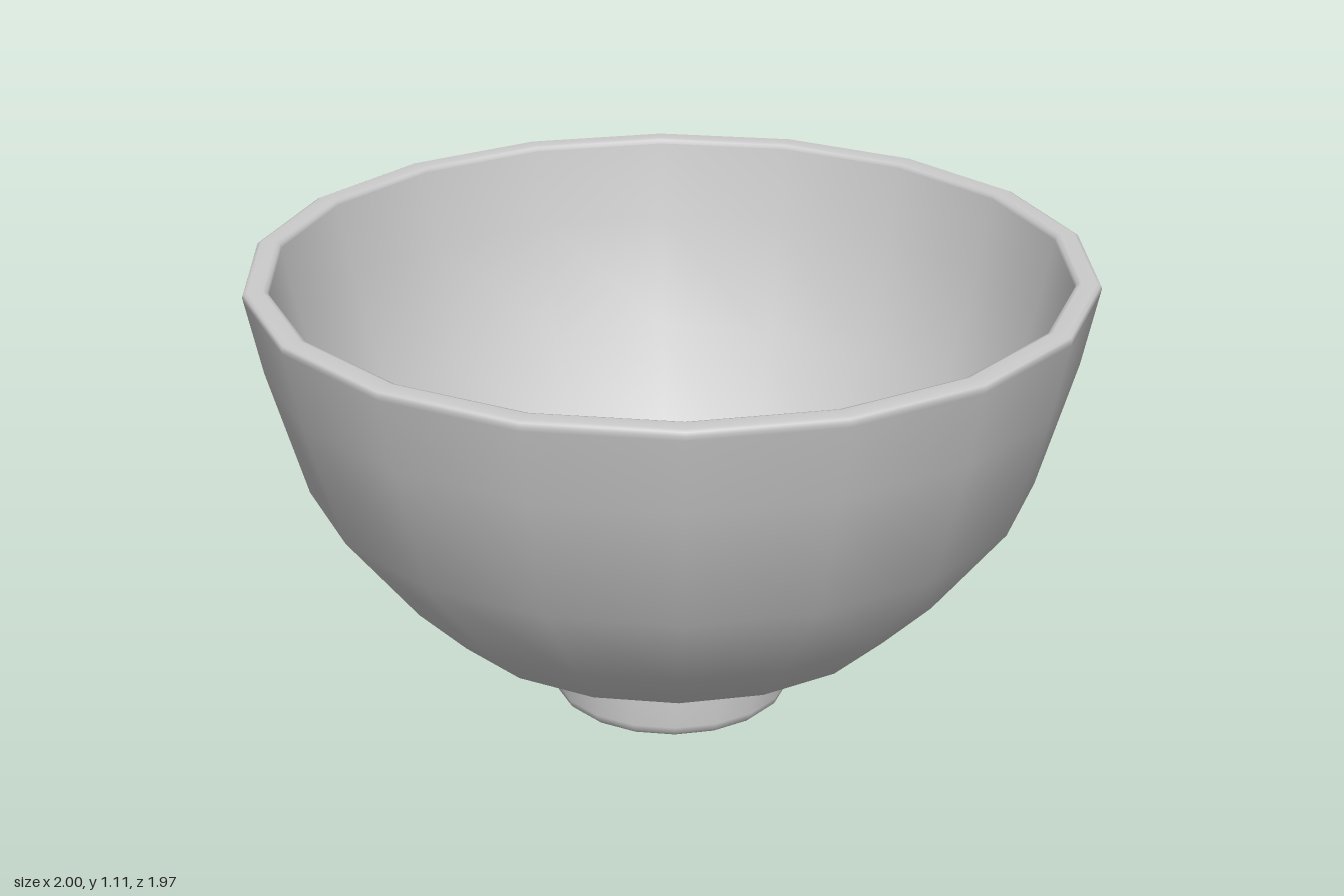
import * as THREE from 'three';

const SIDES = 18;

// Revolve a [radius, height] profile, with a corner of the polygon on +x
function turned(name, profile, material) {
  const points = profile.map(([r, y]) => new THREE.Vector2(r, y));
  const mesh = new THREE.Mesh(new THREE.LatheGeometry(points, SIDES, Math.PI / 2), material);
  mesh.name = name;
  return mesh;
}

export function createModel() {
  const group = new THREE.Group();
  group.name = 'bowl';
  const material = new THREE.MeshStandardMaterial({ color: 0xcccccc });

  // Outer wall, from the underside up to the rim
  group.add(turned('outerWall', [
    [0, 0.1], [0.29, 0.11], [0.57, 0.25], [0.69, 0.37], [0.87, 0.6], [0.96, 0.91], [0.998, 1.09],
  ], material));

  // Rim with softened edges
  group.add(turned('rim', [
    [0.998, 1.09], [1, 1.1], [0.997, 1.108], [0.988, 1.112], [0.953, 1.112], [0.943, 1.109], [0.94, 1.1],
  ], material));

  // Inner wall, from the rim down to the floor
  group.add(turned('innerWall', [
    [0.94, 1.1], [0.903, 0.92], [0.815, 0.625], [0.645, 0.41], [0.535, 0.305], [0.27, 0.175], [0, 0.165],
  ], material));

  // Foot ring, open in the middle
  group.add(turned('footRing', [
    [0.175, 0.11], [0.175, 0.04], [0.182, 0.018], [0.2, 0.004], [0.22, 0],
    [0.26, 0], [0.275, 0.004], [0.286, 0.014], [0.29, 0.03], [0.29, 0.112],
  ], material));

  return group;
}
